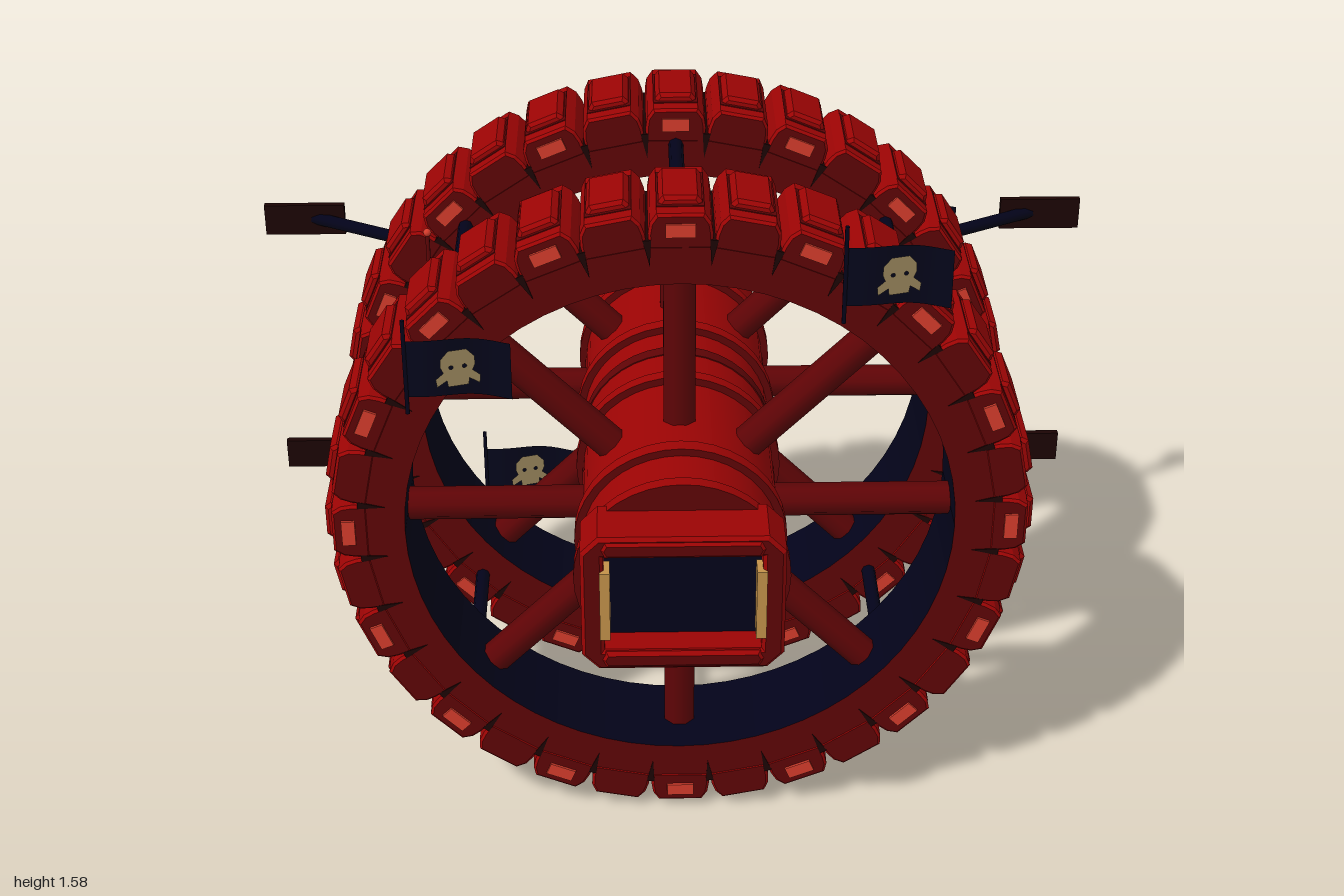
import * as THREE from 'three';

const mat = (name, color, side = THREE.FrontSide) => {
  const m = new THREE.MeshStandardMaterial({ color, side });
  m.name = name;
  return m;
};

export function createModel() {
  const red = mat('red', 0x9c0404);
  const darkRed = mat('dark red', 0x5f0406);
  const navy = mat('navy', 0x03031a);
  const cloth = mat('navy cloth', 0x04051a, THREE.DoubleSide);
  const black = mat('brown black', 0x1c0404);
  const lamp = mat('light red', 0xd63c2c);
  const gold = mat('gold', 0xc4924a);
  const bone = mat('tan', 0x95825a, THREE.DoubleSide);
  const CY = 0.79;
  const model = new THREE.Group();
  model.name = 'twinWheelMachine';

  const add = (parent, name, geo, material, x = 0, y = 0, z = 0) => {
    const mesh = new THREE.Mesh(geo, material);
    mesh.name = name;
    mesh.position.set(x, y, z);
    parent.add(mesh);
    return mesh;
  };
  const box = (w, h, d) => new THREE.BoxGeometry(w, h, d);
  const shapeOf = pts => new THREE.Shape(pts.map(p => new THREE.Vector2(...p)));
  // cylinder lying along z
  const drum = (r, z0, z1, seg = 40) =>
    new THREE.CylinderGeometry(r, r, z1 - z0, seg).rotateX(Math.PI / 2).translate(0, 0, (z0 + z1) / 2);
  // extrusion centred on z = 0, including its bevel
  const slab = (shape, depth, bevel = 0, curveSegments = 32) =>
    new THREE.ExtrudeGeometry(shape, {
      depth: depth - 2 * bevel, bevelEnabled: bevel > 0, bevelSize: bevel, bevelThickness: bevel,
      bevelOffset: -bevel, bevelSegments: 1, curveSegments,
    }).translate(0, 0, -depth / 2 + bevel);
  // straight rod between two points
  const rod = (parent, name, a, b, r, material, seg = 8) => {
    const p = new THREE.Vector3(...a), q = new THREE.Vector3(...b);
    const m = add(parent, name, new THREE.CylinderGeometry(r, r, p.distanceTo(q), seg), material);
    m.position.copy(p).lerp(q, 0.5);
    m.quaternion.setFromUnitVectors(new THREE.Vector3(0, 1, 0), q.sub(p).normalize());
  };

  // Wheels: rim, treaded teeth with dark notches between them, spokes
  const ring = new THREE.Shape().absarc(0, 0, 0.712, 0, Math.PI * 2);
  ring.holes.push(new THREE.Path().absarc(0, 0, 0.61, 0, Math.PI * 2, true));
  const rimGeo = slab(ring, 0.236);
  const toothGeo = slab(shapeOf([[-0.067, 0.69], [0.067, 0.69], [0.068, 0.725], [0.064, 0.75],
    [0.05, 0.771], [-0.05, 0.771], [-0.064, 0.75], [-0.068, 0.725]]), 0.24, 0.006);
  const notchGeo = slab(shapeOf([[0, 0.655], [0.009, 0.715], [-0.009, 0.715]]), 0.241);
  const padGeo = slab(shapeOf([[-0.046, 0.755], [0.046, 0.755], [0.046, 0.777], [0.036, 0.79],
    [-0.036, 0.79], [-0.046, 0.777]]), 0.15, 0.008);
  const seamGeo = box(0.1, 0.01, 0.166);
  const lampGeo = box(0.062, 0.03, 0.012);
  const spokeGeo = new THREE.CylinderGeometry(0.038, 0.038, 0.42, 8).translate(0, 0.41, 0);
  spokeGeo.rotateY(Math.PI / 8);
  const makeWheel = (name, z) => {
    const wheel = new THREE.Group();
    wheel.name = name;
    wheel.position.set(0, CY, z);
    add(wheel, 'rim', rimGeo, [darkRed, navy]);
    for (let i = 0; i < 32; i++) {
      const tooth = new THREE.Group();
      tooth.name = 'tooth';
      tooth.rotation.z = (i * Math.PI) / 16;
      add(tooth, 'toothBlock', toothGeo, [darkRed, red]);
      add(tooth, 'padSeam', seamGeo, darkRed, 0, 0.768, 0);
      add(tooth, 'treadPad', padGeo, red);
      if (i % 2 === 0) add(tooth, 'lamp', lampGeo, lamp, 0, 0.735, 0.12);
      add(tooth, 'notch', notchGeo, black).rotation.z = Math.PI / 32;
      wheel.add(tooth);
    }
    for (let i = 0; i < 8; i++) add(wheel, 'spoke', spokeGeo, darkRed).rotation.z = (i * Math.PI) / 4;
    model.add(wheel);
  };
  makeWheel('frontWheel', 0.22);
  makeWheel('rearWheel', -0.32);

  // Rods joining the wheels
  for (let i = 0; i < 8; i++) {
    const a = (i * Math.PI) / 4, x = 0.685 * Math.cos(a), y = CY + 0.685 * Math.sin(a);
    rod(model, 'crossRod', [x, y, 0.14], [x, y, -0.24], 0.017, navy);
  }

  // Hub drum with flanges, dark bands and seams
  const hub = new THREE.Group();
  hub.name = 'hub';
  hub.position.y = CY;
  model.add(hub);
  const capped = [red, darkRed, darkRed];
  add(hub, 'hubDrum', drum(0.218, -0.64, 0.53), capped);
  for (const [z0, z1] of [[0.5, 0.53], [0.35, 0.385], [0.04, 0.072], [-0.205, -0.17], [-0.48, -0.445]])
    add(hub, 'flange', drum(0.235, z0, z1), capped);
  add(hub, 'darkBand', drum(0.2205, -0.1, -0.065), darkRed);
  for (const s of [-1, 1]) add(hub, 'sideSeam', box(0.006, 0.012, 1.1), darkRed, s * 0.218, -0.01, -0.06);
  add(hub, 'backSeam', box(0.006, 0.43, 0.006), black, 0, 0, -0.64);

  // Front cabin with framed window
  const cabin = new THREE.Group();
  cabin.name = 'cabin';
  cabin.position.y = CY + 0.003;
  model.add(cabin);
  const frame = shapeOf([[-0.18, -0.168], [0.18, -0.168], [0.217, -0.13], [0.217, 0.13],
    [0.18, 0.168], [-0.18, 0.168], [-0.217, 0.13], [-0.217, -0.13]]);
  frame.holes.push(new THREE.Path([[-0.168, -0.118], [-0.168, 0.118], [0.168, 0.118], [0.168, -0.118]]
    .map(p => new THREE.Vector2(...p))));
  add(cabin, 'windowFrame', slab(frame, 0.138, 0.008), [darkRed, red], 0, 0, 0.57);
  add(cabin, 'window', box(0.35, 0.25, 0.01), navy, 0, 0, 0.565);
  const bar = slab(shapeOf([[-0.165, -0.02], [0.165, -0.02], [0.175, 0], [0.165, 0.02],
    [-0.165, 0.02], [-0.175, 0]]), 0.05, 0.008);
  for (const s of [-1, 1]) {
    add(cabin, 'frameBar', bar, [darkRed, red], 0, s * 0.14, 0.62);
    add(cabin, 'goldStrip', box(0.022, 0.17, 0.05), gold, s * 0.166, 0, 0.62);
  }

  // Rear paddles on slanted arms
  for (const s of [-1, 1])
    for (const y of [1.13, 0.46]) {
      rod(model, 'paddleArm', [s * 0.64, y, -0.425], [s * 0.91, y, -0.57], 0.015, navy);
      add(model, 'paddle', box(0.195, 0.078, 0.016), black, s * 0.9025, y, -0.55);
    }

  // Flags on poles, each with a simple skull-shaped patch on both sides
  const wave = x => 0.011 * Math.sin(x * 28);
  const flagGeo = new THREE.PlaneGeometry(0.225, 0.135, 12, 1).translate(0.1125, 0, 0);
  const fp = flagGeo.attributes.position;
  for (let i = 0; i < fp.count; i++) {
    const x = fp.getX(i);
    fp.setZ(i, wave(x));
    fp.setY(i, fp.getY(i) + 0.008 * Math.sin(x * 20));
  }
  flagGeo.computeVertexNormals();
  const skull = shapeOf([[-0.018, -0.035], [0.018, -0.035], [0.02, -0.022], [0.038, -0.034],
    [0.04, -0.018], [0.026, -0.006], [0.031, 0.006], [0.03, 0.022], [0.016, 0.038], [-0.016, 0.038],
    [-0.03, 0.022], [-0.031, 0.006], [-0.026, -0.006], [-0.04, -0.018], [-0.038, -0.034], [-0.02, -0.022]]);
  for (const s of [-1, 1])
    skull.holes.push(new THREE.Path().absarc(s * 0.012, 0.004, 0.004, 0, Math.PI * 2, true));
  const patchGeo = new THREE.ShapeGeometry(skull, 4).scale(1.18, 1.18, 1).translate(0.1125, 0.004, 0);
  const pp = patchGeo.attributes.position;
  for (let i = 0; i < pp.count; i++) pp.setZ(i, wave(pp.getX(i)));
  const poleGeo = new THREE.CylinderGeometry(0.005, 0.005, 0.225, 6);
  for (const [x, y, z] of [[0.343, 1.42, 0.354], [-0.585, 1.21, 0.354],
    [0.463, 1.115, -0.49], [-0.483, 0.44, -0.478]]) {
    const flag = new THREE.Group();
    flag.name = 'flag';
    flag.position.set(x, y, z);
    add(flag, 'flagPole', poleGeo, navy, 0, 0.005, 0);
    add(flag, 'flagCloth', flagGeo, cloth);
    for (const s of [-1, 1]) add(flag, 'flagPatch', patchGeo, bone, 0, 0, s * 0.005);
    model.add(flag);
  }

  // Small mast with a red tip on the front wheel
  rod(model, 'mast', [-0.54, 1.3, 0.15], [-0.54, 1.43, 0.15], 0.005, darkRed, 6);
  add(model, 'mastTip', new THREE.SphereGeometry(0.009, 10, 8), lamp, -0.54, 1.432, 0.15);

  return model;
}
